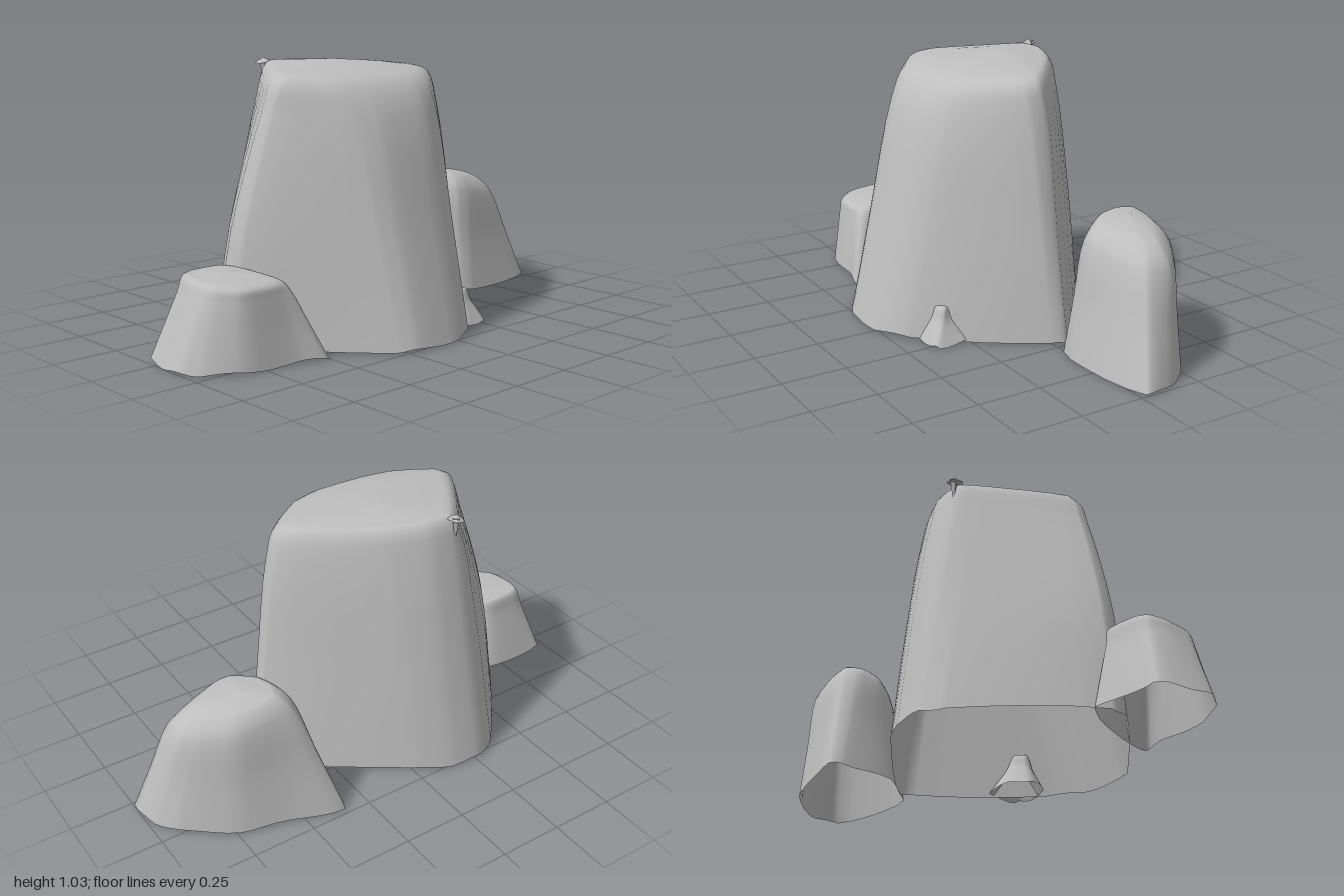
import * as THREE from 'three';

// Outline moved part of the way towards another one.
const between = (a, b, t) => a.map(([x, z], i) => [x + (b[i][0] - x) * t, z + (b[i][1] - z) * t]);

// Resample a closed [x, z] outline, halfway between straight and rounded edges.
function softLoop(outline, perEdge) {
  const corners = outline.map(([x, z]) => new THREE.Vector3(x, 0, z));
  const curve = new THREE.CatmullRomCurve3(corners, true, 'centripetal');
  const count = corners.length;
  return Array.from({ length: count * perEdge }, (_, i) => {
    const k = Math.floor(i / perEdge);
    const straight = corners[k].clone().lerp(corners[(k + 1) % count], (i % perEdge) / perEdge);
    return curve.getPoint(i / (count * perEdge)).lerp(straight, 0.5);
  });
}

// Open-bottomed boulder lofted through base, waist, shoulder, rim and crown.
function makeRock({ base, shoulder, waist = between(base, shoulder, 0.5), rim, shoulderY, rimY, crown }) {
  const perEdge = 4, steps = 20;
  const [b, w, s, r] = [base, waist, shoulder, rim].map((o) => softLoop(o, perEdge));
  const n = b.length;
  const top = new THREE.Vector3(...crown);
  const pos = [], index = [];
  const columns = b.map((p, i) => {
    p.y = 0.017 + 0.005 * Math.sin(i * 0.9);
    s[i].y = shoulderY(s[i].x, s[i].z);
    r[i].y = rimY(r[i].x, r[i].z);
    w[i].y = (p.y + s[i].y) / 2;
    const inset = r[i].clone().lerp(top, 0.3);
    inset.y = THREE.MathUtils.lerp(r[i].y, top.y, 0.55);
    return new THREE.CatmullRomCurve3([p, w[i], s[i], r[i], inset, top], false, 'centripetal');
  });
  for (let k = 0; k <= steps; k++) {
    for (const c of columns) pos.push(...c.getPoint(k / steps).toArray());
  }
  for (let k = 0; k < steps; k++) {
    for (let i = 0; i < n; i++) {
      const a = k * n + i, d = k * n + (i + 1) % n;
      index.push(d, a, a + n);
      if (k < steps - 1) index.push(d, a + n, d + n);
    }
  }
  const g = new THREE.BufferGeometry();
  g.setAttribute('position', new THREE.Float32BufferAttribute(pos, 3));
  g.setIndex(index);
  g.computeVertexNormals();
  return g;
}

export function createModel() {
  const group = new THREE.Group();
  const stone = new THREE.MeshStandardMaterial({ color: 0xbebebe, side: THREE.DoubleSide });
  stone.name = 'grey stone';
  const add = (name, geometry) => {
    const mesh = new THREE.Mesh(geometry, stone);
    mesh.name = name;
    group.add(mesh);
    return mesh;
  };

  // Tall central boulder, its top sloping down to the front
  add('mainRock', makeRock({
    base: [[-0.71, -0.03], [-0.37, -0.47], [-0.28, -0.52], [-0.14, -0.51], [0, -0.44], [0.49, -0.05],
      [0.47, 0.01], [0.14, 0.43], [0, 0.51], [-0.2, 0.51], [-0.28, 0.47], [-0.69, 0.06]],
    waist: [[-0.655, -0.01], [-0.35, -0.38], [-0.26, -0.445], [-0.12, -0.44], [0.03, -0.37], [0.42, -0.045],
      [0.415, 0.025], [0.14, 0.34], [0.01, 0.405], [-0.2, 0.405], [-0.29, 0.37], [-0.64, 0.07]],
    shoulder: [[-0.53, 0.02], [-0.32, -0.28], [-0.24, -0.36], [-0.11, -0.36], [0.05, -0.29], [0.355, -0.04],
      [0.35, 0.04], [0.14, 0.25], [0.02, 0.3], [-0.2, 0.3], [-0.31, 0.26], [-0.52, 0.08]],
    rim: [[-0.48, 0.02], [-0.3, -0.24], [-0.23, -0.32], [-0.11, -0.32], [0.05, -0.25], [0.315, -0.03],
      [0.305, 0.04], [0.13, 0.19], [0.02, 0.225], [-0.2, 0.22], [-0.32, 0.19], [-0.47, 0.08]],
    shoulderY: (x, z) => 0.865 - 0.09 * z,
    rimY: (x, z) => 0.985 - 0.11 * z,
    crown: [-0.06, 1.035, -0.12],
  }));

  // Medium boulder on the left
  add('mediumRock', makeRock({
    base: [[0.33, -0.42], [0.35, -0.48], [0.56, -0.42], [0.74, -0.37], [0.92, -0.24], [0.98, -0.15],
      [1, -0.02], [0.62, 0.03], [0.55, 0.01], [0.37, -0.18]],
    shoulder: [[0.46, -0.29], [0.49, -0.35], [0.59, -0.355], [0.72, -0.335], [0.83, -0.26], [0.88, -0.2],
      [0.87, -0.1], [0.65, -0.04], [0.58, -0.05], [0.48, -0.17]],
    rim: [[0.51, -0.25], [0.53, -0.31], [0.6, -0.32], [0.7, -0.305], [0.79, -0.25], [0.84, -0.2],
      [0.83, -0.13], [0.65, -0.08], [0.6, -0.09], [0.53, -0.17]],
    shoulderY: (x) => 0.55 - 0.17 * x,
    rimY: (x) => 0.625 - 0.2 * x,
    crown: [0.62, 0.528, -0.22],
  }));

  // Low boulder on the right
  const lowBase = [[-0.97, -0.07], [-0.92, -0.08], [-0.68, -0.08], [-0.62, 0], [-0.52, 0.2], [-0.5, 0.35],
    [-0.62, 0.32], [-0.82, 0.3], [-0.95, 0.22], [-1, 0.15], [-1, 0.05]];
  const lowRim = [[-0.87, 0], [-0.83, -0.02], [-0.7, -0.02], [-0.66, 0.03], [-0.63, 0.14], [-0.62, 0.24],
    [-0.67, 0.265], [-0.81, 0.26], [-0.875, 0.2], [-0.89, 0.16], [-0.89, 0.06]];
  add('lowRock', makeRock({
    base: lowBase,
    shoulder: between(lowBase, lowRim, 0.8),
    rim: lowRim,
    shoulderY: () => 0.255,
    rimY: (x, z) => 0.318 - 0.1 * z,
    crown: [-0.75, 0.322, 0.08],
  }));

  // Small stone at the front, partly buried in the central boulder
  const smallBase = [[0.08, 0.36], [0.03, 0.25], [0.1, 0.2], [0.24, 0.21], [0.28, 0.27], [0.285, 0.38],
    [0.26, 0.4], [0.17, 0.405]];
  const smallRim = [[0.13, 0.33], [0.08, 0.27], [0.12, 0.24], [0.19, 0.28], [0.215, 0.305], [0.23, 0.33],
    [0.22, 0.345], [0.197, 0.35]];
  add('smallRock', makeRock({
    base: smallBase,
    shoulder: between(smallBase, smallRim, 0.75),
    rim: smallRim,
    shoulderY: () => 0.1,
    rimY: () => 0.142,
    crown: [0.19, 0.15, 0.318],
  }));

  // Thin chip standing at the back edge of the summit
  const chip = add('summitChip', new THREE.ConeGeometry(0.018, 0.1, 4));
  chip.position.set(-0.23, 0.98, -0.345);
  chip.rotation.x = Math.PI;
  const cap = add('summitChipCap', new THREE.ConeGeometry(0.035, 0.02, 5));
  cap.position.set(-0.235, 1.028, -0.34);
  cap.rotation.z = 0.15;
  return group;
}
